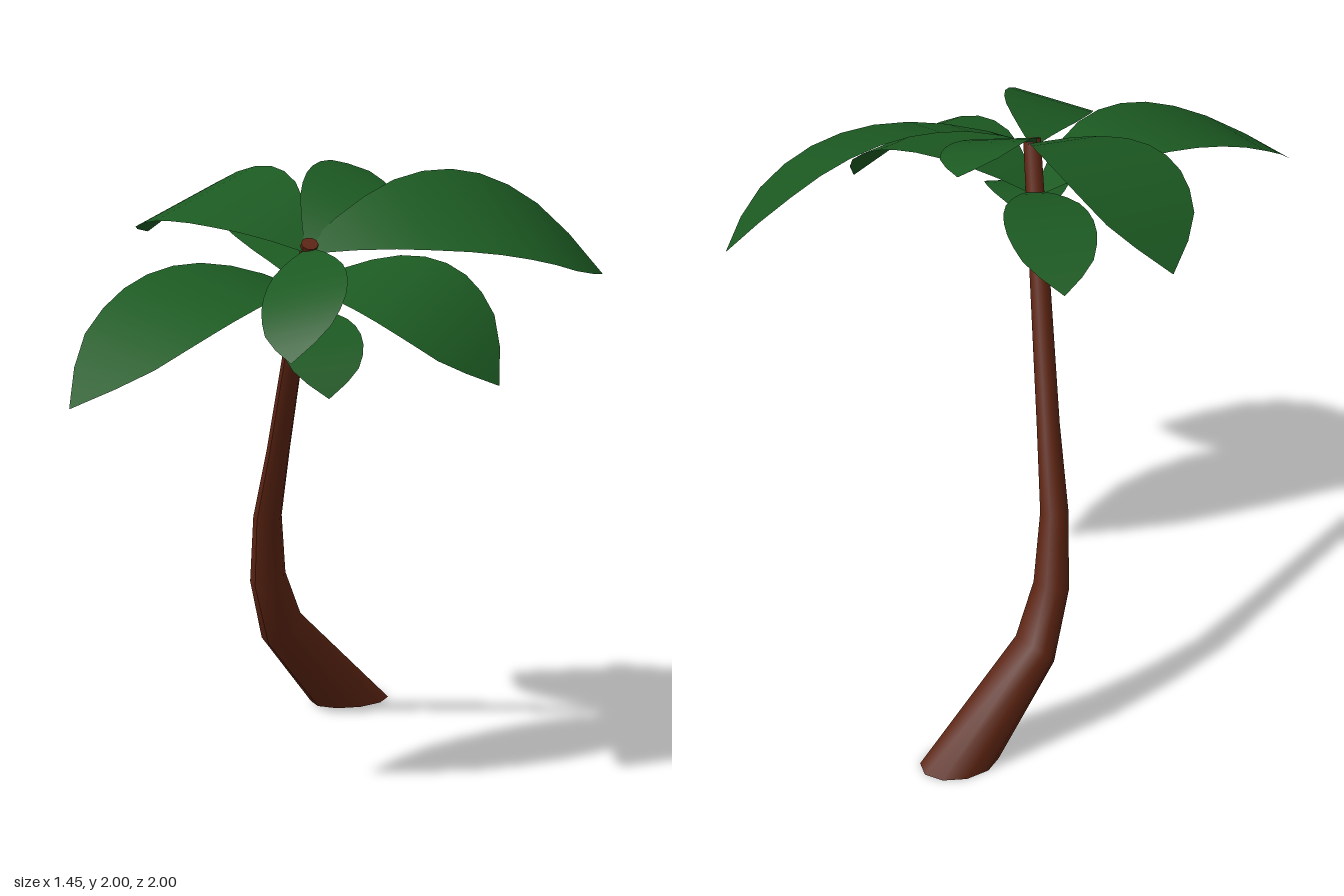
import * as THREE from 'three';

const bark = new THREE.MeshStandardMaterial({ color: 0x5c2412 });
const green = new THREE.MeshStandardMaterial({ color: 0x1c5a22, side: THREE.DoubleSide });

// Trunk rings from ground to crown: x, y, z, radius
const RINGS = [
  [-0.593, 0, -0.75, 0.108],
  [-0.575, 0.31, -0.43, 0.077],
  [-0.535, 0.5, -0.335, 0.06],
  [-0.47, 0.73, -0.275, 0.047],
  [-0.345, 0.99, -0.21, 0.038],
  [0.065, 1.81, 0.02, 0.029],
];

// Capped cylinder whose rings are moved onto the leaning path
function trunkGeometry() {
  const n = RINGS.length - 1;
  const centres = RINGS.map(([x, y, z]) => new THREE.Vector3(x, y, z));
  const up = new THREE.Vector3(0, 1, 0);
  const turns = centres.map((c, i) => {
    const dir = i ? c.clone().sub(centres[i - 1]).normalize() : up;
    return new THREE.Quaternion().setFromUnitVectors(up, dir);
  });
  const geo = new THREE.CylinderGeometry(1, 1, 1, 10, n);
  const pos = geo.attributes.position;
  const v = new THREE.Vector3();
  for (let k = 0; k < pos.count; k++) {
    v.fromBufferAttribute(pos, k);
    const i = Math.round((v.y + 0.5) * n);
    const r = RINGS[i][3];
    v.set(v.x * r, 0, v.z * r * (i ? 1 : 1.3)); // the ground cut is a longer oval
    v.applyQuaternion(turns[i]).add(centres[i]);
    pos.setXYZ(k, v.x, v.y, v.z);
  }
  geo.computeVertexNormals();
  return geo;
}

// Half width of a frond along its length, as a share of the widest place
const OUTLINE = [0.1, 0.38, 0.62, 0.82, 0.94, 1, 1, 0.93, 0.79, 0.47, 0.01];

// Flat-sectioned sheet bent along a curve from root through middle to tip.
// rise lifts one edge and lowers the other.
function frondGeometry({ root, mid, tip, width, rise }) {
  const a = new THREE.Vector3(...root);
  const c = new THREE.Vector3(...tip);
  const b = new THREE.Vector3(...mid).multiplyScalar(2).addScaledVector(a, -0.5).addScaledVector(c, -0.5);
  const spine = new THREE.QuadraticBezierCurve3(a, b, c);
  const flat = new THREE.Vector3(c.x - a.x, 0, c.z - a.z).normalize();
  const side = new THREE.Vector3(-flat.z * width, rise, flat.x * width);
  const n = OUTLINE.length - 1;
  const geo = new THREE.PlaneGeometry(2, 1, 2, n);
  const pos = geo.attributes.position;
  for (let k = 0; k < pos.count; k++) {
    const i = Math.round((pos.getY(k) + 0.5) * n);
    const p = spine.getPoint(i / n).addScaledVector(side, pos.getX(k) * OUTLINE[i]);
    pos.setXYZ(k, p.x, p.y, p.z);
  }
  geo.computeVertexNormals();
  return geo;
}

const TOP = [0.06, 1.79, 0.02];
const LOW = [0, 1.65, -0.02];
const FRONDS = {
  frontFrond: { root: [0, 1.64, 0], mid: [0.015, 1.7, 0.5], tip: [-0.03, 1.4, 1], width: 0.225, rise: 0.035 },
  rightFrond: { root: TOP, mid: [-0.335, 1.91, 0.055], tip: [-0.73, 1.7, 0.02], width: 0.225, rise: 0.055 },
  backFrond: { root: TOP, mid: [0.31, 1.875, -0.5], tip: [0.375, 1.59, -1], width: 0.2, rise: -0.1 },
  leftFrond: { root: LOW, mid: [0.42, 1.69, -0.11], tip: [0.72, 1.41, -0.23], width: 0.225, rise: -0.05 },
  frontLeftFrond: { root: TOP, mid: [0.3, 1.735, 0.25], tip: [0.45, 1.55, 0.45], width: 0.14, rise: -0.03 },
  smallTopFrond: { root: TOP, mid: [-0.02, 1.93, -0.215], tip: [-0.14, 1.94, -0.43], width: 0.14, rise: -0.05 },
  backRightFrond: { root: LOW, mid: [-0.3, 1.75, -0.175], tip: [-0.59, 1.67, -0.32], width: 0.15, rise: 0.01 },
  smallLowFrond: { root: [-0.05, 1.56, -0.05], mid: [0.2, 1.535, 0.1], tip: [0.36, 1.37, 0.2], width: 0.14, rise: 0 },
};

export function createModel() {
  const group = new THREE.Group();
  group.name = 'palmTree';

  const trunk = new THREE.Mesh(trunkGeometry(), bark);
  trunk.name = 'trunk';
  group.add(trunk);

  // Crown of fronds
  const crown = new THREE.Group();
  crown.name = 'crown';
  for (const [name, spec] of Object.entries(FRONDS)) {
    const frond = new THREE.Mesh(frondGeometry(spec), green);
    frond.name = name;
    crown.add(frond);
  }
  group.add(crown);
  return group;
}
